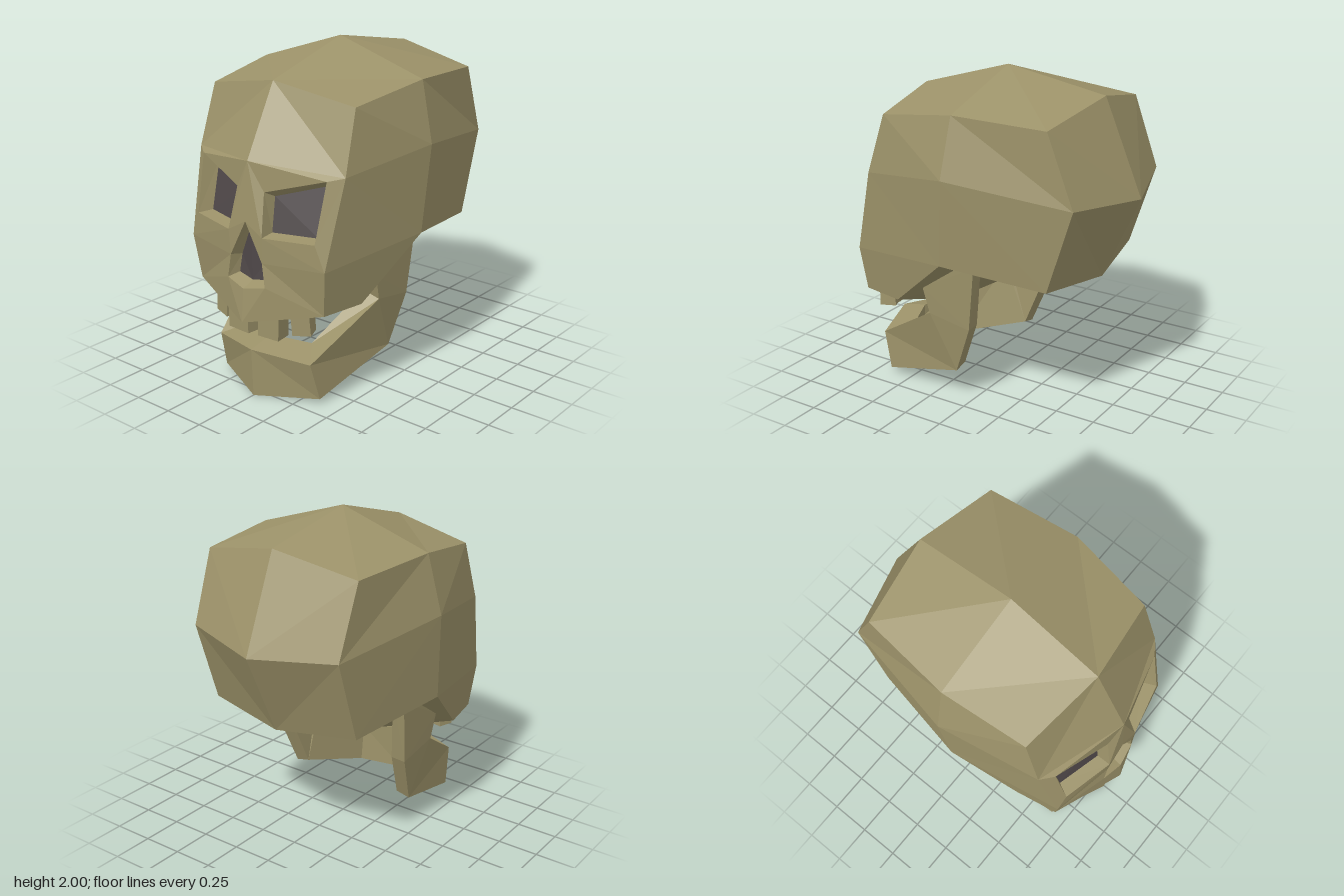
import * as THREE from 'three';

const bone = new THREE.MeshStandardMaterial({ color: 0x9c9269, flatShading: true });
bone.name = 'bone';
const hollow = new THREE.MeshStandardMaterial({ color: 0x4e4748, flatShading: true });
hollow.name = 'socketGrey';

// Mesh from polygons given for the +x half; the -x half is mirrored
function mirroredMesh(name, faces, material) {
  const pos = [];
  const fan = (f) => {
    for (let i = 1; i < f.length - 1; i++) pos.push(...f[0], ...f[i], ...f[i + 1]);
  };
  for (const f of faces) {
    fan(f);
    const [first, ...rest] = f.map(([x, y, z]) => [-x, y, z]);
    fan([first, ...rest.reverse()]);
  }
  const g = new THREE.BufferGeometry();
  g.setAttribute('position', new THREE.Float32BufferAttribute(pos, 3));
  g.computeVertexNormals();
  const mesh = new THREE.Mesh(g, material);
  mesh.name = name;
  return mesh;
}

// Strip of quads joining two rows of points
function strip(a, b) {
  return a.slice(1).map((p, i) => [a[i], p, b[i + 1], b[i]]);
}

function buildCranium(group) {
  // Centre line
  const T0 = [0, 1.83, 0.59], C0 = [0, 2, 0], C1 = [0, 1.89, -0.64], C2 = [0, 1.33, -0.88];
  const C3 = [0, 0.82, -0.65], D0 = [0, 0.79, -0.2], D1 = [0, 0.43, 0.4];
  const L0 = [0, 0.49, 0.89], B0 = [0, 1.42, 0.81];
  // Front corner, side and back corner columns
  const T1 = [0.52, 1.74, 0.52], B1 = [0.54, 1.38, 0.63], M1 = [0.5, 0.87, 0.76], L1 = [0.47, 0.6, 0.73];
  const P = [0.585, 1.815, 0], Q = [0.67, 1.46, 0.02], R = [0.64, 0.94, 0.06], E = [0.52, 0.6, 0.46];
  const K1 = [0.52, 1.79, -0.57], K2 = [0.51, 1.37, -0.73], K3 = [0.51, 0.87, -0.57];
  // Eye rim and floor, nose rim and floor
  const e = [[0.1, 1.255, 0.79], [0.125, 1.01, 0.845], [0.44, 1.02, 0.77], [0.46, 1.36, 0.69]];
  const ei = [[0.118, 1.22, 0.72], [0.128, 1.022, 0.76], [0.4, 1.028, 0.69], [0.415, 1.31, 0.61]];
  const n = [[0, 0.69, 0.87], [0.14, 0.72, 0.845], [0.118, 0.86, 0.84], [0, 1.08, 0.84]];
  const ni = [[0, 0.72, 0.79], [0.108, 0.74, 0.78], [0.095, 0.85, 0.77], [0, 1.06, 0.785]];

  group.add(mirroredMesh('cranium', [
    // face
    [T0, B0, B1, T1], [B0, e[0], e[3], B1], [B1, e[3], e[2], M1], [B0, n[3], e[1], e[0]],
    [n[3], n[2], e[1]], [e[1], n[2], M1, e[2]], [n[2], n[1], L1, M1], [n[1], n[0], L0, L1],
    // side
    [T1, B1, Q, P], [B1, M1, R, Q], [M1, L1, E, R], [P, Q, K2, K1], [Q, R, K3, K2],
    // back and top
    [K1, K2, C2, C1], [K2, K3, C3, C2], [T0, T1, P, C0], [C0, P, K1, C1],
    // underside
    [K3, R, D0, C3], [D0, R, E, D1], [D1, E, L1, L0],
  ], bone));
  group.add(mirroredMesh('eyeSocketWalls', strip([...e, e[0]], [...ei, ei[0]]), bone));
  group.add(mirroredMesh('eyeSocketFloors', [ei], hollow));
  group.add(mirroredMesh('noseWalls', strip(n, ni), bone));
  group.add(mirroredMesh('noseFloor', [ni], hollow));
}

function buildJaw() {
  // Cross-sections from chin to hinge: outer top, outer bottom, inner bottom, inner top
  const rings = [
    [[0, 0.295, 0.82], [0, 0, 0.81], [0, 0.03, 0.66], [0, 0.33, 0.65]],
    [[0.35, 0.26, 0.71], [0.37, 0.03, 0.65], [0.24, 0.07, 0.54], [0.235, 0.31, 0.56]],
    [[0.485, 0.55, 0.25], [0.44, 0.19, 0.09], [0.35, 0.21, 0.09], [0.37, 0.58, 0.25]],
    [[0.495, 0.71, 0.29], [0.48, 0.5, -0.03], [0.38, 0.5, -0.02], [0.4, 0.71, 0.28]],
    [[0.5, 0.92, 0], [0.5, 0.91, -0.08], [0.42, 0.91, -0.08], [0.42, 0.92, 0]],
  ];
  const faces = [rings[rings.length - 1]];
  for (let s = 0; s < rings.length - 1; s++) {
    const a = rings[s], b = rings[s + 1];
    faces.push(...strip([...a, a[0]], [...b, b[0]]));
  }
  return mirroredMesh('jaw', faces, bone);
}

function buildTeeth() {
  const teeth = new THREE.Group();
  teeth.name = 'teeth';
  // x, bottom y, z, width, turn, tilt
  for (const [x, y, z, w, turn, tilt] of [
    [-0.27, 0.425, 0.71, 0.12, -0.3, -0.08],
    [-0.09, 0.395, 0.77, 0.165, -0.1, 0.03],
    [0.13, 0.405, 0.77, 0.14, 0.12, -0.03],
    [0.295, 0.445, 0.7, 0.11, 0.4, 0.08],
  ]) {
    const h = 0.56 - y;
    const tooth = new THREE.Mesh(new THREE.BoxGeometry(w, h, 0.1), bone);
    tooth.position.set(x, y + h / 2, z);
    tooth.rotation.set(0, turn, tilt);
    tooth.name = 'tooth';
    teeth.add(tooth);
  }
  return teeth;
}

export function createModel() {
  const model = new THREE.Group();
  model.name = 'skull';
  buildCranium(model);
  model.add(buildJaw(), buildTeeth());
  return model;
}
